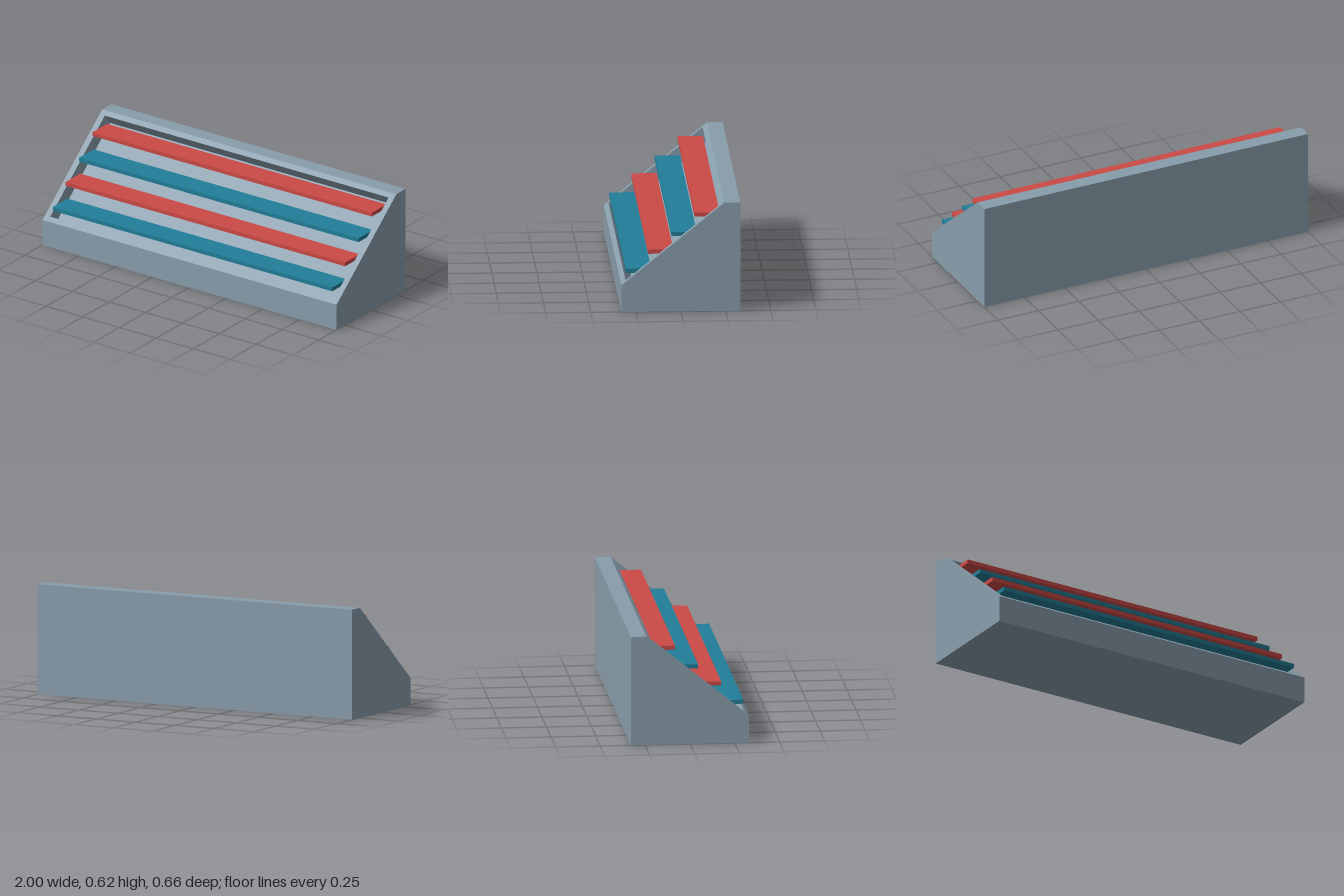
import * as THREE from 'three';

const mat = (name, color) => {
  const m = new THREE.MeshStandardMaterial({ color });
  m.name = name;
  return m;
};

// Extrude a (z, y) outline along x, centred on the given x
function slab(name, outline, width, x, material) {
  const shape = new THREE.Shape(outline.map(([z, y]) => new THREE.Vector2(z, y)));
  const geo = new THREE.ExtrudeGeometry(shape, { depth: width, bevelEnabled: false });
  geo.translate(0, 0, -width / 2).rotateY(-Math.PI / 2);
  const mesh = new THREE.Mesh(geo, material);
  mesh.name = name;
  mesh.position.x = x;
  return mesh;
}

export function createModel() {
  const group = new THREE.Group();
  group.name = 'slopedDisplayRack';
  const grey = mat('slate grey', 0x889dab);
  const red = mat('red', 0xcc4a46);
  const teal = mat('teal', 0x217e98);

  // Wedge outline: front lip, base, back, flat top
  const low = [0.33, 0.152], high = [-0.242, 0.616];
  const base = [[0.33, 0], low, high, [-0.33, 0.616], [-0.33, 0]];

  // Tray sunk at right angles to the slope
  const len = Math.hypot(high[0] - low[0], high[1] - low[1]);
  const dir = [(high[0] - low[0]) / len, (high[1] - low[1]) / len];
  const onSlope = (along, depth) => [
    low[0] + dir[0] * along - dir[1] * depth,
    low[1] + dir[1] * along + dir[0] * depth,
  ];
  const rim = 0.032, depth = 0.08, inner = 0.965;
  const tray = [
    base[0], low,
    onSlope(rim, 0), onSlope(rim, depth),
    onSlope(len - rim, depth), onSlope(len - rim, 0),
    high, base[3], base[4],
  ];
  group.add(slab('bodyWithTray', tray, inner * 2, 0, grey));

  // End panels close the tray
  for (const side of [-1, 1]) {
    group.add(slab(side > 0 ? 'leftEndPanel' : 'rightEndPanel', base, 1 - inner, side * (1 + inner) / 2, grey));
  }

  // Stepped shelves in alternating colours: [front z, bottom y]
  const shelves = [[0.302, 0.211], [0.179, 0.318], [0.05, 0.418], [-0.078, 0.527]];
  const shelfDepth = 0.14, thick = 0.023;
  shelves.forEach(([z, y], i) => {
    const shelf = new THREE.Mesh(new THREE.BoxGeometry(1.9, thick, shelfDepth), i % 2 ? red : teal);
    shelf.name = `shelf${i + 1}`;
    shelf.position.set(0, y + thick / 2, z - shelfDepth / 2);
    group.add(shelf);
  });

  return group;
}
